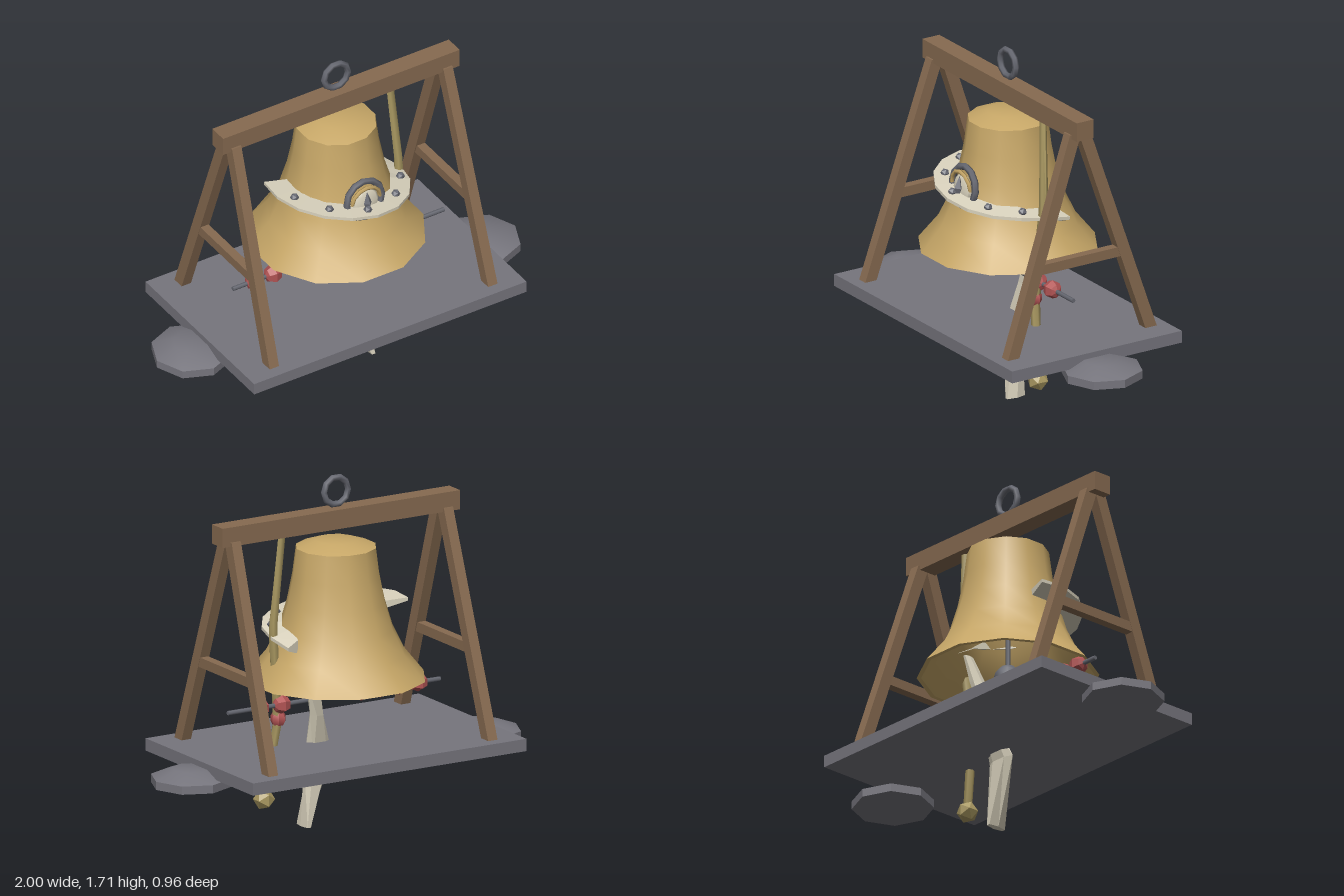
import * as THREE from 'three';
import { toCreasedNormals } from 'three/addons/utils/BufferGeometryUtils.js';

const mat = (name, color, extra = {}) => {
  const m = new THREE.MeshStandardMaterial({ color, ...extra });
  m.name = name;
  return m;
};

// Closed skin over a list of rings of [x, y, z] points, with capped ends
function loft(rings) {
  const n = rings[0].length, last = rings.length - 1, pos = [];
  const tri = (...pts) => pts.forEach(p => pos.push(...p));
  for (let i = 0; i < last; i++) {
    for (let j = 0; j < n; j++) {
      const k = (j + 1) % n, a = rings[i], b = rings[i + 1];
      tri(a[j], a[k], b[j]);
      tri(a[k], b[k], b[j]);
    }
  }
  for (let j = 1; j < n - 1; j++) {
    tri(rings[0][0], rings[0][j + 1], rings[0][j]);
    tri(rings[last][0], rings[last][j], rings[last][j + 1]);
  }
  const g = new THREE.BufferGeometry();
  g.setAttribute('position', new THREE.Float32BufferAttribute(pos, 3));
  g.computeVertexNormals();
  return g;
}

// Horizontal elliptical sections [x, y, z, rx, rz], listed from top to bottom
const column = (sections, sides) => loft(sections.map(([x, y, z, rx, rz]) =>
  Array.from({ length: sides }, (_, j) => {
    const a = j / sides * Math.PI * 2;
    return [x + Math.cos(a) * rx, y, z + Math.sin(a) * rz];
  })));

export function createModel() {
  const root = new THREE.Group();
  root.name = 'hangingBell';

  const wood = mat('wood', 0x866a50);
  const brass = mat('brass', 0xc8a868);
  const slate = mat('slate', 0x76757d);
  const iron = mat('iron', 0x666871);
  const red = mat('red bead', 0xb25454);
  const bone = mat('bone', 0xd9d2bd);
  const ropeTan = mat('rope', 0xa99861);

  const add = (name, geo, material, x = 0, y = 0, z = 0, parent = root) => {
    const m = new THREE.Mesh(geo, material);
    m.name = name;
    m.position.set(x, y, z);
    parent.add(m);
    return m;
  };
  const box = (w, h, d) => new THREE.BoxGeometry(w, h, d);
  const lathe = (pts, sides, start = 0) => toCreasedNormals(
    new THREE.LatheGeometry(pts.map(p => new THREE.Vector2(...p)), sides, start), 0.7);

  // Base slab with a low stone under each end
  add('baseSlab', box(1.52, 0.06, 0.96), slate, 0, 0.388, 0);
  for (const s of [-1, 1]) {
    add('footStone', lathe([[0, 0.31], [0.195, 0.31], [0.195, 0.35], [0.09, 0.39], [0, 0.39]], 8),
      slate, s * 0.805, 0, 0);
  }

  // Timber frame
  add('topBeam', box(1.32, 0.094, 0.096), wood, 0, 1.502, 0);
  for (const sx of [-1, 1]) {
    for (const sz of [-1, 1]) {
      // Sheared box keeps the cut ends level
      const leg = box(0.052, 1.06, 0.064);
      const p = leg.attributes.position;
      for (let i = 0; i < p.count; i++) {
        const t = (p.getY(i) + 0.53) / 1.06;
        p.setXYZ(i, p.getX(i) + sx * (0.61 - 0.02 * t), p.getY(i) + 0.945,
          p.getZ(i) + sz * (0.39 - 0.365 * t));
      }
      leg.computeVertexNormals();
      add('frameLeg', leg, wood);
    }
    add('crossBrace', box(0.045, 0.048, 0.46), wood, sx * 0.604, 0.832, 0);
  }

  // Hanging ring
  add('hangingRing', new THREE.TorusGeometry(0.067, 0.016, 6, 10), iron, 0, 1.63, 0);

  // Bell: outer wall, rim and inner wall
  const bellProfile = [
    [0, 1.345], [0.165, 1.33], [0.19, 1.2], [0.218, 1.07], [0.255, 0.95], [0.315, 0.83], [0.41, 0.72],
    [0.432, 0.72], [0.335, 0.84], [0.277, 0.96], [0.238, 1.09], [0.212, 1.22], [0.194, 1.36],
    [0.1, 1.393], [0, 1.393],
  ];
  add('bell', lathe(bellProfile, 12, Math.PI / 12), brass);
  add('clapperRod', new THREE.CylinderGeometry(0.012, 0.012, 0.62, 6), iron, 0, 1.03, 0);
  add('clapper', new THREE.SphereGeometry(0.07, 8, 6), iron, 0, 0.705, 0);

  // Bead rail
  const rod = add('beadRod', new THREE.CylinderGeometry(0.011, 0.011, 1.18, 6), iron, 0, 0.622, 0.02);
  rod.rotation.z = Math.PI / 2;
  for (const x of [-0.47, -0.365, -0.26, -0.155, 0.29, 0.41]) {
    const b = add('railBead', toCreasedNormals(new THREE.SphereGeometry(0.046, 6, 4), 0.3),
      red, x, 0.622, 0.02);
    b.rotation.z = Math.PI / 2;
  }

  // Pull rope with its bead and end knob
  add('pullRope', toCreasedNormals(column([
    [0.3, 1.46, 0, 0.02, 0.014], [0.335, 1.03, 0.02, 0.022, 0.022], [0.335, 0.97, 0.023, 0.023, 0.024],
    [0.305, 0.64, 0.04, 0.023, 0.025], [0.3, 0.52, 0.045, 0.022, 0.024], [0.357, 0.17, 0.068, 0.02, 0.022],
  ], 6), 1.1), ropeTan);
  add('ropeBead', lathe([[0, -0.03], [0.027, -0.03], [0.037, -0.012], [0.037, 0.012], [0.027, 0.03], [0, 0.03]], 7),
    red, 0.293, 0.548, 0.045);
  add('ropeKnob', new THREE.IcosahedronGeometry(0.053, 0), ropeTan, 0.358, 0.158, 0.068);

  // Twisted bone clapper tail
  add('boneTail', column([
    [0.185, 0.86, -0.085, 0.012, 0.03], [0.158, 0.72, -0.045, 0.026, 0.05],
    [0.122, 0.56, -0.022, 0.035, 0.038], [0.08, 0.32, 0.03, 0.08, 0.022],
    [0.145, 0, 0.055, 0.018, 0.057],
  ], 6), bone);

  // Bone collar wrapped round the front, tilted down to the left side
  const collarY = (x, z) => 1.022 - 0.15 * x + Math.min(0, z - 0.08) * (x > 0 ? 0.2 : 0);
  const collar = [];
  for (let i = 0; i <= 10; i++) {
    const a = -1.84 + i * 0.376;
    const rIn = i === 10 ? 0.29 : 0.243, rOut = i === 10 ? 0.365 : 0.355;
    const point = (r, dy) => {
      const x = r * Math.sin(a), z = r * Math.cos(a);
      return [x, collarY(x, z) + dy, z];
    };
    const drop = i === 10 ? 0.05 : 0.02;
    collar.push([point(rOut, 0.008), point(rOut, -0.008), point(rIn, -drop), point(rIn, 0.016)]);
  }
  add('boneCollar', loft(collar), bone);
  for (const [x, z] of [[-0.285, 0.085], [-0.185, 0.235], [-0.015, 0.305], [0.185, 0.235], [0.29, 0.11]]) {
    add('collarStud', new THREE.IcosahedronGeometry(0.022, 0), iron, x, collarY(x, z) + 0.015, z);
  }

  // Front medallion
  const medal = new THREE.Group();
  medal.name = 'medallion';
  medal.position.set(0, 1.06, 0.25);
  medal.rotation.x = -0.1;
  root.add(medal);
  add('medallionRing', new THREE.TorusGeometry(0.098, 0.017, 6, 12), iron, 0, 0, 0, medal);
  const arch = add('medallionArch', new THREE.TorusGeometry(0.078, 0.01, 5, 6, Math.PI), brass, 0, 0, 0.015, medal);
  arch.rotation.x = 0.2;
  const disc = add('medallionDisc', new THREE.SphereGeometry(0.075, 10, 6), bone, 0, -0.012, 0.005, medal);
  disc.scale.z = 0.25;
  const spike = add('medallionSpike', new THREE.OctahedronGeometry(0.06), iron, 0, -0.005, 0.03, medal);
  spike.scale.set(0.35, 1, 0.4);

  return root;
}
